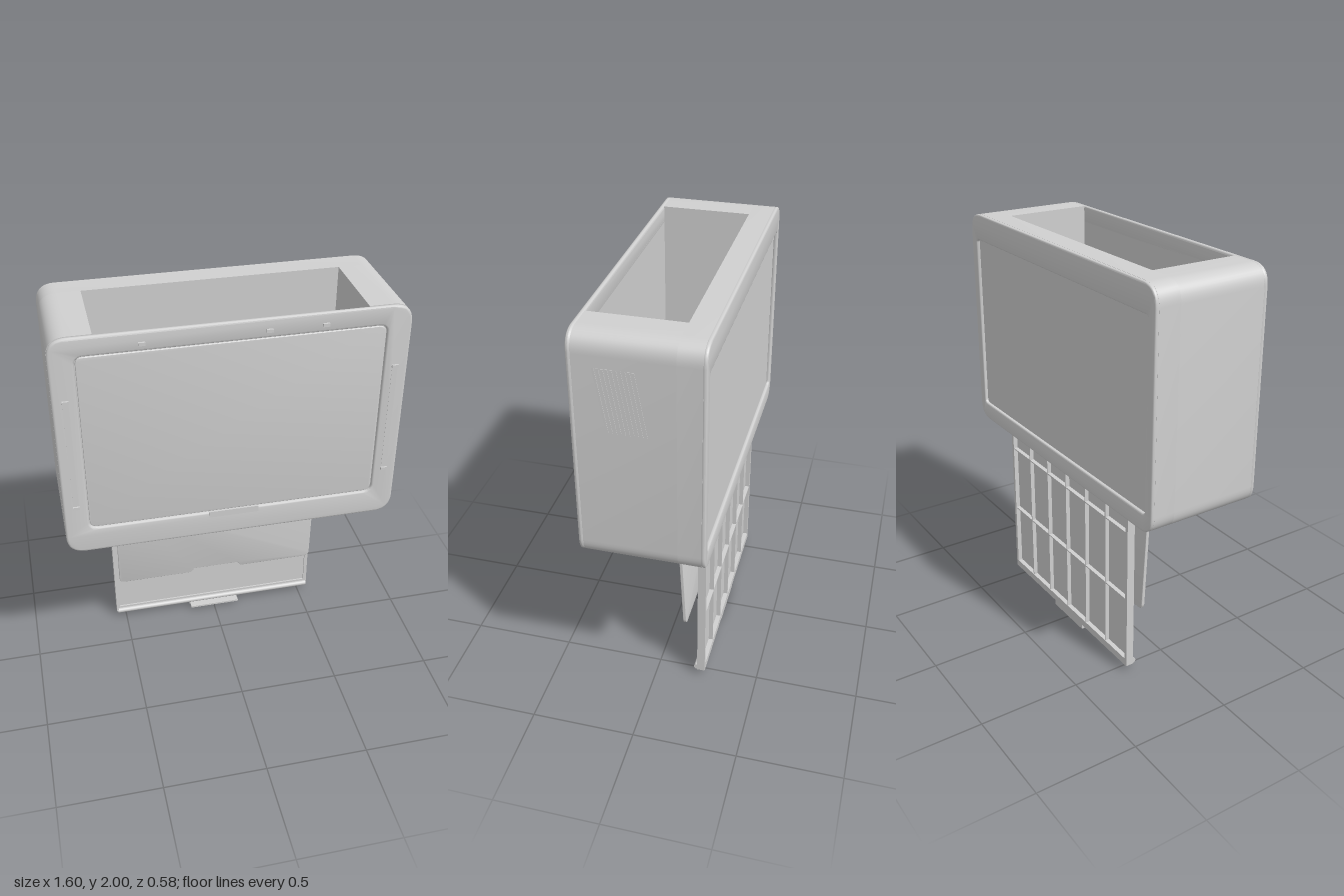
import * as THREE from 'three';
import { toCreasedNormals } from 'three/addons/utils/BufferGeometryUtils.js';

const grey = new THREE.MeshStandardMaterial({ color: 0xd0d0d0 });
grey.name = 'light grey';

// Rectangle with rounded corners; radii run bottom-left, bottom-right, top-right, top-left
function rounded(x0, x1, y0, y1, [a, b, c, d], s = new THREE.Shape()) {
  s.moveTo(x0 + a, y0);
  s.lineTo(x1 - b, y0);
  if (b) s.quadraticCurveTo(x1, y0, x1, y0 + b);
  s.lineTo(x1, y1 - c);
  if (c) s.quadraticCurveTo(x1, y1, x1 - c, y1);
  s.lineTo(x0 + d, y1);
  if (d) s.quadraticCurveTo(x0, y1, x0, y1 - d);
  s.lineTo(x0, y0 + a);
  if (a) s.quadraticCurveTo(x0, y0, x0 + a, y0);
  return s;
}

const all = (r) => [r, r, r, r];

export function createModel() {
  const model = new THREE.Group();

  function add(name, geometry, parent = model) {
    const mesh = new THREE.Mesh(geometry, grey);
    mesh.name = name;
    parent.add(mesh);
    return mesh;
  }
  function box(name, x0, x1, y0, y1, z0, z1, parent) {
    const mesh = add(name, new THREE.BoxGeometry(x1 - x0, y1 - y0, z1 - z0), parent);
    mesh.position.set((x0 + x1) / 2, (y0 + y1) / 2, (z0 + z1) / 2);
    return mesh;
  }
  // Cylinder lying along x
  function rod(name, radius, x0, x1, y, z, parent) {
    const mesh = add(name, new THREE.CylinderGeometry(radius, radius, x1 - x0, 20), parent);
    mesh.rotation.z = Math.PI / 2;
    mesh.position.set((x0 + x1) / 2, y, z);
  }
  // Plate from z0 to z1 with rounded edges that stay inside the outline
  function plate(name, shape, z0, z1, bevel = 0, parent = model) {
    const g = new THREE.ExtrudeGeometry(shape, {
      depth: z1 - z0 - 2 * bevel, bevelEnabled: bevel > 0, bevelSize: bevel,
      bevelThickness: bevel, bevelOffset: -bevel, bevelSegments: 3, curveSegments: 10,
    });
    g.translate(0, 0, z0 + bevel);
    return add(name, toCreasedNormals(g, 0.6), parent);
  }

  // Housing: front frame, back section and two side pillars, open above and below
  const housing = new THREE.Group();
  housing.name = 'housing';
  model.add(housing);
  const outline = () => rounded(-0.797, 0.797, 0.89, 2, all(0.09));
  const frame = outline();
  frame.holes.push(rounded(-0.685, 0.685, 1.02, 1.91, all(0.04), new THREE.Path()));
  plate('frontFrame', frame, 0.258, 0.282, 0.01, housing);
  plate('frontPanel', rounded(-0.681, 0.681, 1.024, 1.906, all(0.036)), 0.262, 0.276, 0.003, housing);
  plate('frontBacking', rounded(-0.7, 0.7, 1, 1.93, all(0.04)), 0.258, 0.266, 0, housing);
  plate('backSection', outline(), -0.276, -0.17, 0, housing);
  const backFrame = outline();
  backFrame.holes.push(rounded(-0.745, 0.745, 0.98, 1.87, all(0.02), new THREE.Path()));
  plate('backFrame', backFrame, -0.292, -0.27, 0.008, housing);
  plate('rightPillar', rounded(-0.797, -0.6, 0.89, 2, [0.09, 0, 0, 0.09]), -0.17, 0.26, 0, housing);
  plate('leftPillar', rounded(0.6, 0.797, 0.89, 2, [0, 0.09, 0.09, 0]), -0.17, 0.26, 0, housing);
  box('innerFloor', -0.6, 0.6, 0.95, 0.97, -0.17, 0.26, housing);

  // Finger grip under the panel
  box('panelGrip', -0.12, 0.12, 0.99, 1.022, 0.27, 0.283, housing);

  // Small clips and side strips on the front frame
  for (const x of [-0.4, 0.15, 0.4]) box('topClip', x - 0.015, x + 0.015, 1.938, 1.953, 0.275, 0.292);
  for (const s of [-1, 1]) {
    const x = s * 0.737;
    for (const y of [1.15, 1.705]) box('sideClip', x - 0.015, x + 0.015, y - 0.007, y + 0.007, 0.275, 0.292);
    box('sideStrip', x - 0.013, x + 0.013, 1.157, 1.698, 0.277, 0.2835);
  }

  // Slanted vent ribs on the left side
  const vent = new THREE.Group();
  vent.name = 'vent';
  model.add(vent);
  const ribs = 10;
  for (let i = 0; i < ribs; i++) {
    const z = -0.02 + (i * 0.165) / (ribs - 1);
    const rib = box('ventRib', 0.794, 0.799, 1.56, 1.86, z - 0.005, z + 0.005, vent);
    rib.rotation.x = 0.165;
  }

  // Hanging flap with a notch in its lower edge
  const flap = new THREE.Group();
  flap.name = 'flap';
  flap.position.set(0, 0.86, -0.108);
  flap.rotation.x = 0.05;
  model.add(flap);
  const f = new THREE.Shape();
  f.moveTo(-0.53, 0);
  f.lineTo(-0.53, -0.52);
  f.quadraticCurveTo(-0.53, -0.55, -0.5, -0.55);
  f.lineTo(-0.14, -0.55);
  f.lineTo(-0.12, -0.525);
  f.lineTo(0.12, -0.525);
  f.lineTo(0.14, -0.55);
  f.lineTo(0.5, -0.55);
  f.quadraticCurveTo(0.53, -0.55, 0.53, -0.52);
  f.lineTo(0.53, 0);
  plate('flapPanel', f, -0.008, 0.008, 0.003, flap);
  rod('hingeRod', 0.01, -0.54, 0.54, 0.012, 0, flap);
  for (const s of [-1, 1]) {
    rod('hingeKnuckle', 0.02, s * 0.553 - 0.015, s * 0.553 + 0.015, 0, 0, flap);
    box('hingeBracket', s * 0.555 - 0.014, s * 0.555 + 0.014, 0.86, 0.9, -0.122, -0.096);
  }

  // Tray: thin sheet, raised rims, and shallow compartments on the back
  const tray = new THREE.Group();
  tray.name = 'tray';
  model.add(tray);
  box('traySheet', -0.54, 0.54, 0.045, 0.92, -0.22, -0.212, tray);
  for (const s of [-1, 1]) {
    box('sideRim', s * 0.542 - 0.009, s * 0.542 + 0.009, 0.035, 0.92, -0.243, -0.204, tray);
  }
  box('bottomRim', -0.55, 0.55, 0.033, 0.07, -0.243, -0.204, tray);
  for (let i = 1; i < 6; i++) {
    const x = -0.54 + i * 0.18;
    box('columnDivider', x - 0.003, x + 0.003, 0.06, 0.92, -0.241, -0.218, tray);
  }
  for (const y of [0.41, 0.77]) box('rowDivider', -0.54, 0.54, y - 0.003, y + 0.003, -0.241, -0.218, tray);

  // Bottom rail and pull handle of the tray
  rod('bottomRail', 0.014, -0.545, 0.545, 0.046, -0.2, tray);
  box('handlePlate', -0.135, 0.135, 0.018, 0.028, -0.238, -0.16, tray);
  box('handleLip', -0.135, 0.135, 0, 0.035, -0.238, -0.218, tray);

  return model;
}
